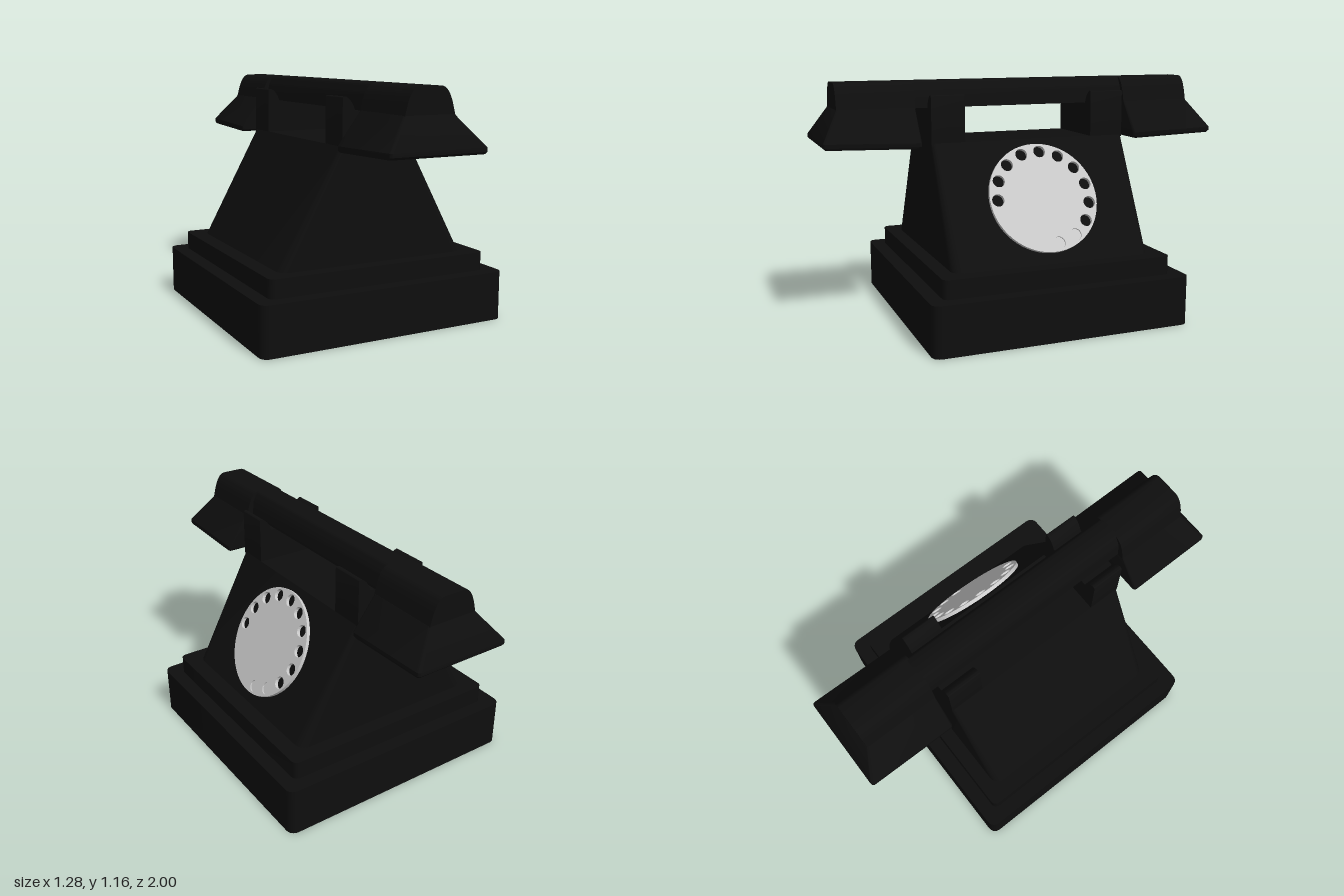
import * as THREE from 'three';
import { toCreasedNormals } from 'three/addons/utils/BufferGeometryUtils.js';

const black = new THREE.MeshStandardMaterial({ color: 0x0e0e0e });
const grey = new THREE.MeshStandardMaterial({ color: 0xcccccc });

// Loft through horizontal rounded rectangles: [y, halfWidthX, z0, z1, cornerRadius]
function loft(rings) {
  const seg = 5, pos = [], idx = [];
  const n = 4 * (seg + 1);
  for (const [y, hx, z0, z1, r] of rings) {
    const corners = [[hx - r, z1 - r], [-hx + r, z1 - r], [-hx + r, z0 + r], [hx - r, z0 + r]];
    corners.forEach(([cx, cz], c) => {
      for (let i = 0; i <= seg; i++) {
        const a = (c + i / seg) * Math.PI / 2;
        pos.push(cx + r * Math.cos(a), y, cz + r * Math.sin(a));
      }
    });
  }
  for (let k = 0; k < rings.length - 1; k++) {
    for (let i = 0; i < n; i++) {
      const a = k * n + i, b = k * n + (i + 1) % n;
      idx.push(a, a + n, b, b, a + n, b + n);
    }
  }
  // bottom and top caps
  const last = (rings.length - 1) * n;
  for (let i = 1; i < n - 1; i++) {
    idx.push(0, i, i + 1, last, last + i + 1, last + i);
  }
  const g = new THREE.BufferGeometry();
  g.setAttribute('position', new THREE.Float32BufferAttribute(pos, 3));
  g.setIndex(idx);
  return g;
}

const crease = (g) => toCreasedNormals(g, 0.6);

// Extrude an upright x-y profile from z0 to z1
function extrudeZ(shape, z0, z1) {
  const g = new THREE.ExtrudeGeometry(shape, { depth: z1 - z0, bevelEnabled: false, curveSegments: 10 });
  g.translate(0, 0, z0);
  return crease(g);
}

// Domed handset profile with a flat bottom
function dome(w, shoulder) {
  const s = new THREE.Shape();
  s.moveTo(-w, 1.04);
  s.lineTo(w, 1.04);
  s.lineTo(w - 0.008, shoulder);
  s.quadraticCurveTo(w - 0.03, 1.165, 0.05, 1.165);
  s.lineTo(-0.05, 1.165);
  s.quadraticCurveTo(-w + 0.03, 1.165, -w + 0.008, shoulder);
  s.closePath();
  return s;
}

export function createModel() {
  const model = new THREE.Group();
  const add = (name, geometry, material = black, parent = model) => {
    const mesh = new THREE.Mesh(geometry, material);
    mesh.name = name;
    parent.add(mesh);
    return mesh;
  };

  // Stepped base and sloping body
  add('base', crease(loft([[0, 0.64, -0.65, 0.63, 0.04], [0.24, 0.64, -0.65, 0.63, 0.04]])));
  add('baseStep', crease(loft([[0.24, 0.57, -0.58, 0.56, 0.03], [0.33, 0.57, -0.58, 0.56, 0.03]])));
  add('body', crease(loft([[0.33, 0.49, -0.51, 0.49, 0.05], [0.88, 0.18, -0.51, 0.49, 0.02]])));

  // Cradle posts with a horn on each side
  const cradle = new THREE.Shape();
  cradle.moveTo(-0.18, 0.87);
  cradle.lineTo(0.18, 0.87);
  cradle.lineTo(0.178, 1.095);
  cradle.quadraticCurveTo(0.176, 1.107, 0.162, 1.104);
  cradle.quadraticCurveTo(0.13, 1.09, 0.115, 1.04);
  cradle.lineTo(-0.115, 1.04);
  cradle.quadraticCurveTo(-0.13, 1.09, -0.162, 1.104);
  cradle.quadraticCurveTo(-0.176, 1.107, -0.178, 1.095);
  cradle.closePath();
  add('frontCradle', extrudeZ(cradle, 0.325, 0.49));
  add('backCradle', extrudeZ(cradle, -0.51, -0.335));

  // Handset: slim grip, wider domed ends and flared cups
  const handset = new THREE.Group();
  handset.name = 'handset';
  model.add(handset);
  add('grip', extrudeZ(dome(0.09, 1.115), -0.56, 0.56), black, handset);
  for (const side of [1, -1]) {
    const span = (a, b) => (side > 0 ? [a, b] : [-b, -a]);
    const label = side > 0 ? 'front' : 'back';
    add(label + 'HandsetEnd', extrudeZ(dome(0.125, 1.07), ...span(0.55, 0.918)), black, handset);
    const cup = loft([
      [0.865, 0.235, ...span(0.56, 0.99), 0.012],
      [0.875, 0.241, ...span(0.55, 1), 0.015],
      [0.893, 0.241, ...span(0.55, 1), 0.015],
      [1.045, 0.125, ...span(0.55, 0.918), 0.01],
    ]);
    // the underside rises slightly toward the outer end
    const p = cup.attributes.position;
    for (let i = 0; i < p.count; i++) {
      if (p.getY(i) < 0.9) p.setY(i, p.getY(i) + 0.03 * (Math.abs(p.getZ(i)) - 0.55));
    }
    add(label + 'Cup', crease(cup), black, handset);
  }

  // Dial on the left slope, with a ring of finger holes
  const dial = new THREE.Group();
  dial.name = 'dial';
  dial.position.set(0.327, 0.61, -0.012);
  dial.rotation.set(-0.513, Math.PI / 2, 0, 'YXZ');
  model.add(dial);
  const face = new THREE.Shape().absarc(0, 0, 0.273, 0, Math.PI * 2);
  for (let i = 0; i < 12; i++) {
    const a = Math.PI - i * 0.416;
    const x = 0.233 * Math.cos(a), y = 0.233 * Math.sin(a);
    face.holes.push(new THREE.Path().absarc(x, y, 0.03, 0, Math.PI * 2, true));
    // the last two holes have grey floors
    if (i > 9) {
      const floor = new THREE.CylinderGeometry(0.031, 0.031, 0.012, 24);
      floor.rotateX(Math.PI / 2).translate(x, y, 0.009);
      add('holeFloor', floor, grey, dial);
    }
  }
  const disc = new THREE.ExtrudeGeometry(face, { depth: 0.022, bevelEnabled: false, curveSegments: 32 });
  add('dialDisc', crease(disc), grey, dial);

  return model;
}
